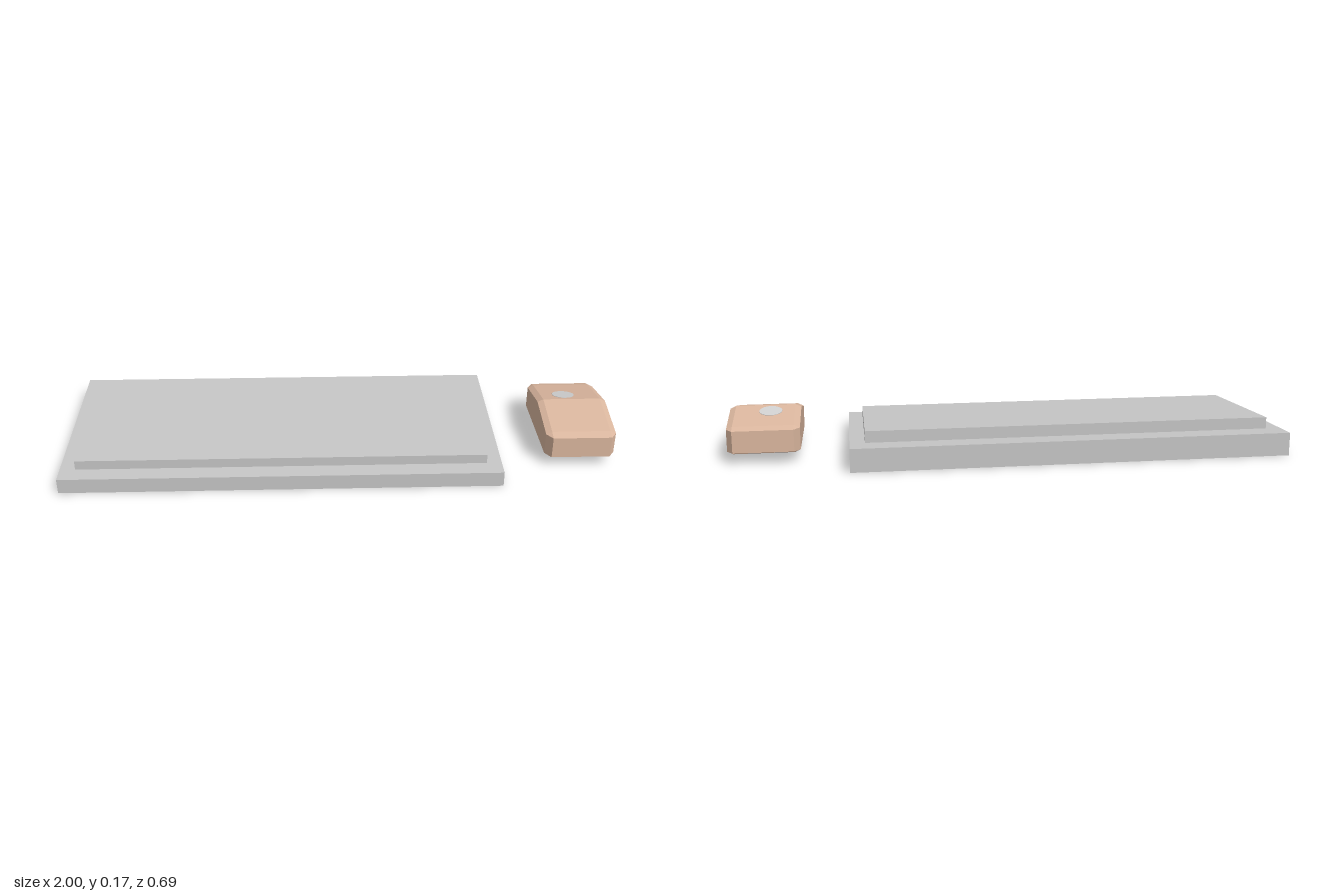
import * as THREE from 'three';

const grey = new THREE.MeshStandardMaterial({ color: 0xc6c6c6 });
grey.name = 'grey';
const tan = new THREE.MeshStandardMaterial({ color: 0xdab69e });
tan.name = 'tan';
const paleGrey = new THREE.MeshStandardMaterial({ color: 0xd0d0d0 });
paleGrey.name = 'paleGrey';

function mesh(name, geometry, material) {
  const m = new THREE.Mesh(geometry, material);
  m.name = name;
  return m;
}

// Wedge slab: a side profile of [z, y] points extruded from x0 to x1
function slab(profile, x0, x1) {
  const shape = new THREE.Shape(profile.map(([z, y]) => new THREE.Vector2(-z, y)));
  const geo = new THREE.ExtrudeGeometry(shape, { depth: x1 - x0, bevelEnabled: false });
  return geo.rotateY(Math.PI / 2).translate(x0, 0, 0);
}

// Chamfered body with a ridged roof, lofted through four ten-point rings
function mouseBody() {
  const [x0, x1, z0, z1, ridge] = [0.745, 1, -0.192, 0.229, 0.019];
  const cx = 0.021, cz = 0.031;
  const ring = (inner, yEnd, yRidge) => {
    const ox = inner ? cx : 0, oz = inner ? cz : 0;
    const a = x0 + ox, b = x1 - ox, f = z1 - oz, k = z0 + oz;
    return [
      [x0 + cx, f], [x1 - cx, f], [b, z1 - cz], [b, ridge], [b, z0 + cz],
      [x1 - cx, k], [x0 + cx, k], [a, z0 + cz], [a, ridge], [a, z1 - cz],
    ].map(([x, z]) => new THREE.Vector3(x, z === ridge ? yRidge : yEnd, z));
  };
  const rings = [
    ring(true, 0.032, 0.032),
    ring(false, 0.042, 0.042),
    ring(false, 0.121, 0.157),
    ring(true, 0.131, 0.167),
  ];
  const points = [];
  const tri = (a, b, c) => {
    if (new THREE.Triangle(a, b, c).getArea() > 1e-8) points.push(a, b, c);
  };
  const quad = (a, b, c, d) => { tri(a, b, c); tri(a, c, d); };
  for (let r = 0; r < 3; r++) {
    for (let i = 0; i < 10; i++) {
      const j = (i + 1) % 10;
      quad(rings[r][i], rings[r][j], rings[r + 1][j], rings[r + 1][i]);
    }
  }
  // Roof slopes and underside
  const t = rings[3], u = rings[0];
  quad(t[0], t[1], t[3], t[8]);
  quad(t[8], t[3], t[5], t[6]);
  quad(u[0], u[6], u[5], u[1]);
  const geo = new THREE.BufferGeometry().setFromPoints(points);
  geo.computeVertexNormals();
  return geo;
}

export function createModel() {
  const model = new THREE.Group();
  model.name = 'keyboardAndMouse';

  // Keyboard: sloping case with a raised key block
  const keyboard = new THREE.Group();
  keyboard.name = 'keyboard';
  keyboard.add(
    mesh('case', slab([[0.347, 0], [-0.347, 0], [-0.347, 0.084], [0.347, 0.055]], -1, 0.574), grey),
    mesh('keyBlock', slab([[0.285, 0.05], [-0.255, 0.072], [-0.255, 0.122], [0.285, 0.092]], -0.945, 0.52), grey),
  );

  // Mouse: faceted body with a round spot lying on the rear slope
  const mouse = new THREE.Group();
  mouse.name = 'mouse';
  const spot = mesh('spot', new THREE.CylinderGeometry(0.041, 0.041, 0.002, 24), paleGrey);
  spot.position.set(0.852, 0.1565, -0.036);
  spot.rotation.x = -Math.atan(0.2);
  mouse.add(mesh('body', mouseBody(), tan), spot);

  model.add(keyboard, mouse);
  return model;
}
